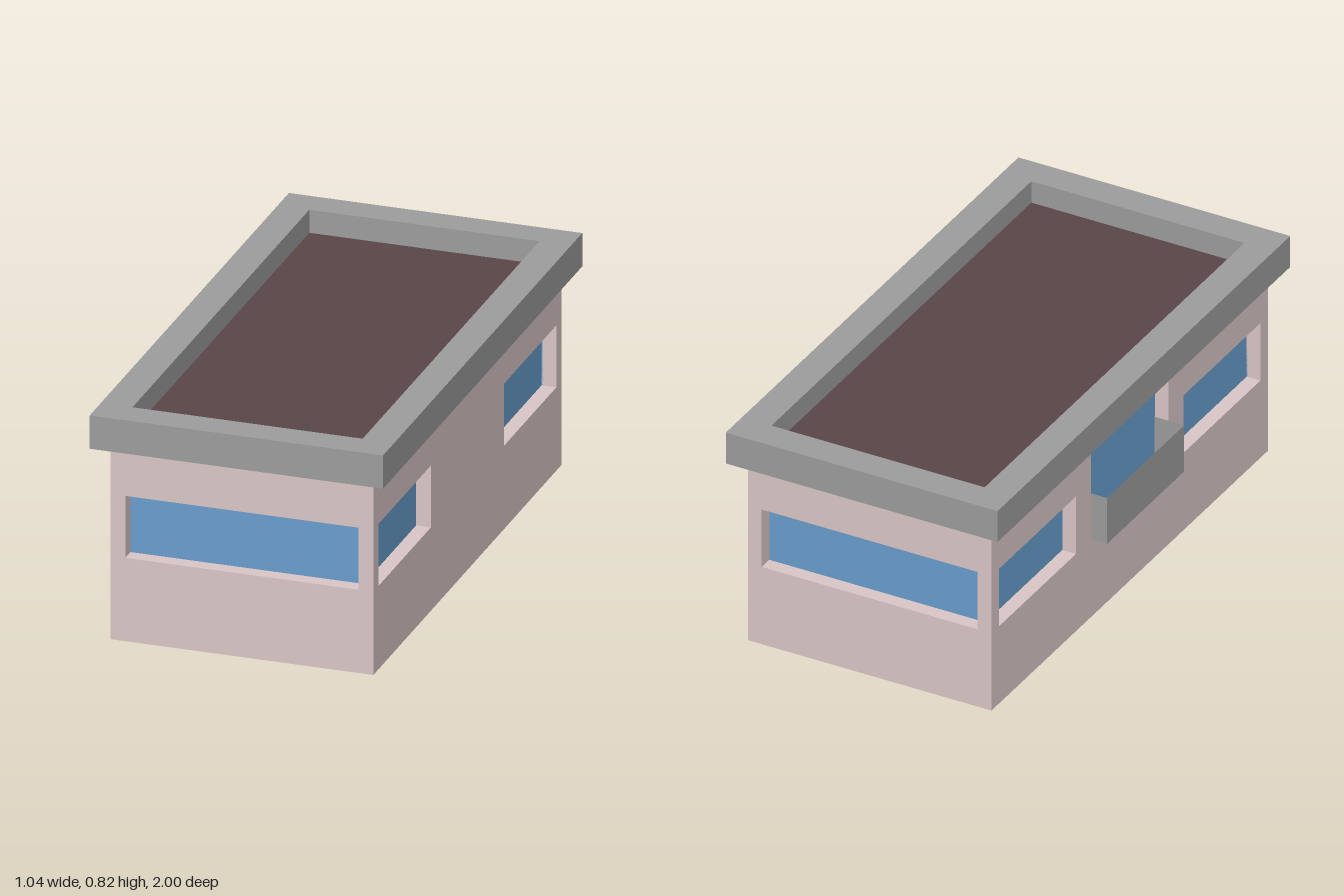
import * as THREE from 'three';

const mat = (color) => new THREE.MeshStandardMaterial({ color, flatShading: true, side: THREE.DoubleSide });

// Half sizes of the body, wall height and depth of the window recesses
const HX = 0.4615, HZ = 0.945, WALL_H = 0.7, DEPTH = 0.052;

export function createModel() {
  const model = new THREE.Group();
  model.name = 'house';
  const house = new THREE.Group();
  house.name = 'building';
  house.position.x = 0.0025;
  model.add(house);

  const wallMat = mat(0xdcc8c8), glassMat = mat(0x6a9fcf);
  const roofMat = mat(0x9e9e9e), deckMat = mat(0x5a464a);

  const add = (parent, name, geometry, material, x = 0, y = 0, z = 0) => {
    const mesh = new THREE.Mesh(geometry, material);
    mesh.name = name;
    mesh.position.set(x, y, z);
    parent.add(mesh);
    return mesh;
  };

  const rect = (PathType, x0, y0, x1, y1) => new PathType([
    new THREE.Vector2(x0, y0), new THREE.Vector2(x1, y0),
    new THREE.Vector2(x1, y1), new THREE.Vector2(x0, y1),
  ]);

  // Wall with recessed openings [x0, y0, x1, y1]; its outer face is at local z = 0
  const wall = (name, half, openings, distance, angle) => {
    const side = new THREE.Group();
    side.name = name;
    side.rotation.y = angle;
    side.position.set(Math.sin(angle) * distance, 0, Math.cos(angle) * distance);
    const shape = rect(THREE.Shape, -half, 0, half, WALL_H);
    for (const [x0, y0, x1, y1] of openings) {
      shape.holes.push(rect(THREE.Path, x0, y0, x1, y1));
      add(side, 'windowGlass', new THREE.PlaneGeometry(x1 - x0, y1 - y0), glassMat,
        (x0 + x1) / 2, (y0 + y1) / 2, -DEPTH);
    }
    const geometry = new THREE.ExtrudeGeometry(shape, { depth: DEPTH, bevelEnabled: false });
    add(side, 'wallPanel', geometry.translate(0, 0, -DEPTH), wallMat);
    house.add(side);
    return side;
  };

  // Walls: one wide window at each end, two windows along each side
  const wide = [[-0.412, 0.3, 0.412, 0.523]];
  const pair = [[-0.893, 0.3, -0.367, 0.523], [0.367, 0.3, 0.893, 0.523]];
  wall('frontWall', HX, wide, HZ, 0);
  wall('backWall', HX, wide, HZ, Math.PI);
  wall('leftWall', HZ, pair, HX, Math.PI / 2);
  const doorSide = wall('rightWall', HZ, [...pair, [-0.265, 0.3, 0.265, 0.68]], HX, -Math.PI / 2);

  // Balcony: open tray of thin panels reaching back to the door glass
  const balcony = new THREE.Group();
  balcony.name = 'balcony';
  doorSide.add(balcony);
  const half = 0.264, out = 0.06, low = 0.301, high = 0.48;
  const reach = out + DEPTH, midZ = (out - DEPTH) / 2, midY = (low + high) / 2;
  add(balcony, 'balconyFront', new THREE.PlaneGeometry(2 * half, high - low), roofMat, 0, midY, out);
  for (const s of [-1, 1]) {
    add(balcony, 'balconyEnd', new THREE.PlaneGeometry(reach, high - low), roofMat, s * half, midY, midZ)
      .rotation.y = s * Math.PI / 2;
  }
  add(balcony, 'balconyFloor', new THREE.PlaneGeometry(2 * half, reach), roofMat, 0, low, midZ)
    .rotation.x = Math.PI / 2;

  // Underside of the body
  add(house, 'base', new THREE.PlaneGeometry(2 * HX, 2 * HZ), wallMat).rotation.x = Math.PI / 2;

  // Overhanging roof rim around a sunken deck
  const rim = rect(THREE.Shape, -0.515, -1, 0.515, 1);
  rim.holes.push(rect(THREE.Path, -0.404, -0.888, 0.404, 0.888));
  add(house, 'roofRim', new THREE.ExtrudeGeometry(rim, { depth: 0.12, bevelEnabled: false }), roofMat, 0, WALL_H, 0)
    .rotation.x = -Math.PI / 2;
  add(house, 'roofDeck', new THREE.PlaneGeometry(0.808, 1.776), deckMat, 0, 0.737, 0)
    .rotation.x = -Math.PI / 2;

  return model;
}
